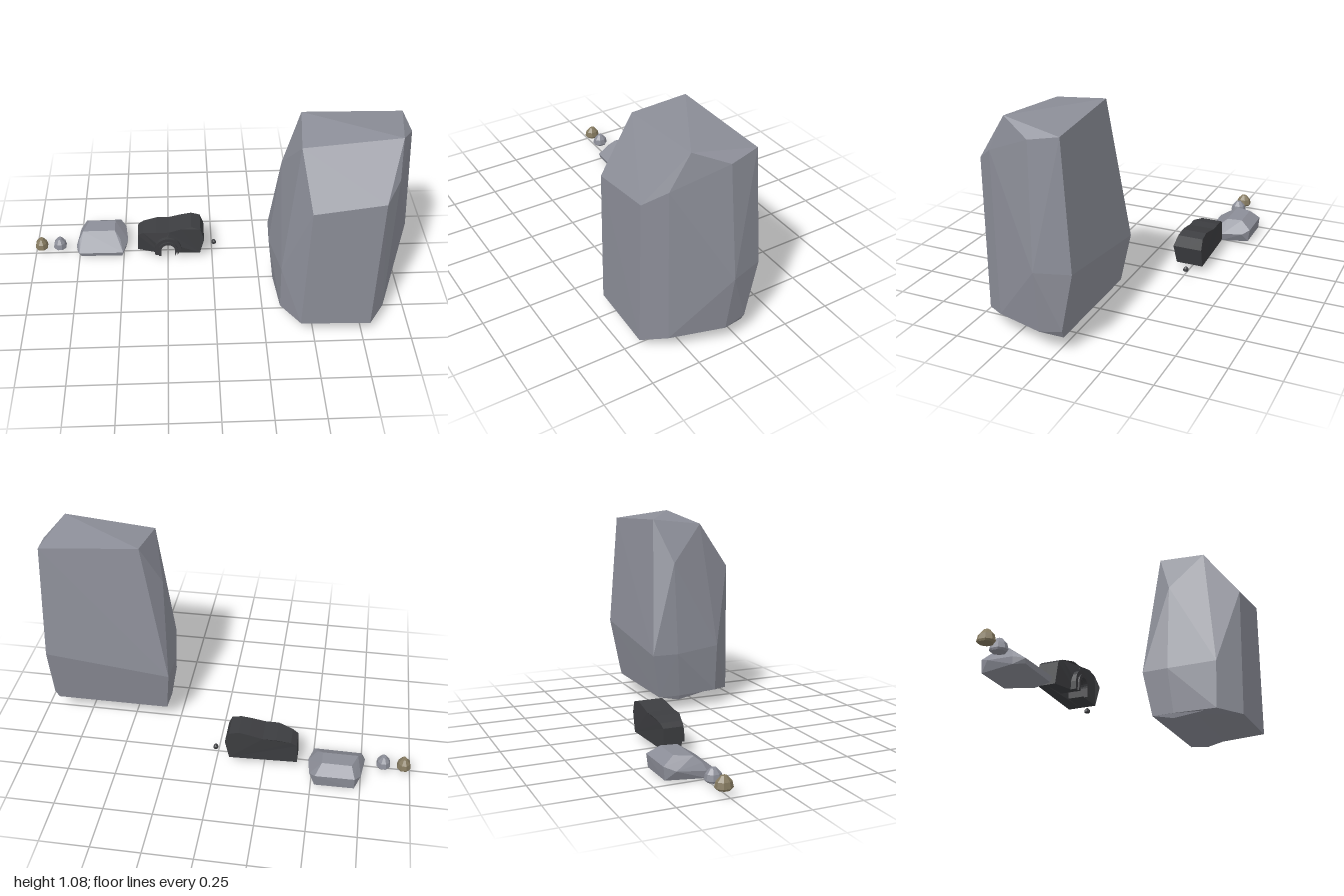
import * as THREE from 'three';
import { ConvexGeometry } from 'three/addons/geometries/ConvexGeometry.js';

const mat = (color) => new THREE.MeshStandardMaterial({ color, flatShading: true });
const stone = mat(0x8c8e98), darkStone = mat(0x3c3d40), brownStone = mat(0x857a60);

// faceted rock spanned around its corner points
function rock(name, material, corners) {
  const mesh = new THREE.Mesh(new ConvexGeometry(corners.map((c) => new THREE.Vector3(...c))), material);
  mesh.name = name;
  return mesh;
}

// small domed stone: wide base, shoulder ring and narrow crown
function pebble(name, material, x, y, z, w, h, d) {
  const corners = [];
  for (const [level, sx, sz] of [[0, 0.9, 0.8], [0.15, 1, 1], [0.6, 0.84, 0.86], [1, 0.3, 0.35]]) {
    for (let i = 0; i < 8; i++) {
      const a = ((i + 0.5) * Math.PI) / 4;
      corners.push([x + (Math.cos(a) / 0.924) * sx * w / 2, y + level * h, z + (Math.sin(a) / 0.924) * sz * d / 2]);
    }
  }
  return rock(name, material, corners);
}

// side outline of the cave rock, with an optional arched notch in its base
function caveOutline(notch) {
  const s = new THREE.Shape();
  s.moveTo(-0.42, 0.04);
  for (const [x, y] of [[-0.415, 0.15], [-0.385, 0.17], [-0.31, 0.185], [-0.24, 0.185], [-0.17, 0.202],
    [-0.115, 0.212], [-0.065, 0.197], [-0.045, 0.14], [-0.068, 0.038]]) s.lineTo(x, y);
  if (notch) {
    s.lineTo(-0.208, 0.04);
    s.lineTo(-0.208, 0.075);
    s.absarc(-0.247, 0.075, 0.039, 0, Math.PI, false);
    s.lineTo(-0.286, 0.04);
  }
  return s;
}

// extruded slice of the cave rock, narrowed toward its left end and leaning back at the top
function caveSlice(name, notch, t0, t1) {
  const geo = new THREE.ExtrudeGeometry(caveOutline(notch), { depth: t1 - t0, bevelEnabled: false, curveSegments: 5 });
  const p = geo.attributes.position;
  for (let i = 0; i < p.count; i++) {
    const x = p.getX(i), y = p.getY(i), t = t0 + p.getZ(i);
    const k = THREE.MathUtils.clamp((x + 0.42) / 0.1, 0, 1);
    const back = THREE.MathUtils.lerp(-0.312, -0.325, k);
    const lean = Math.max(0, y - 0.14) * 0.35 + Math.max(0, 0.14 - y) * 0.12;
    const front = THREE.MathUtils.lerp(-0.21, -0.168, k) - lean;
    p.setZ(i, THREE.MathUtils.lerp(back, front, t));
  }
  geo.computeVertexNormals();
  const mesh = new THREE.Mesh(geo, darkStone);
  mesh.name = name;
  return mesh;
}

function caveRock() {
  const g = new THREE.Group();
  g.name = 'caveRock';
  g.add(caveSlice('caveBack', false, 0, 0.45), caveSlice('caveFront', true, 0.45, 1));
  // raised stone arch around the opening, in two steps
  for (const [name, outer, inner, z] of [['outerArch', 0.074, 0.052, -0.163], ['innerArch', 0.054, 0.038, -0.155]]) {
    const s = new THREE.Shape();
    s.moveTo(outer, 0);
    s.absarc(0, 0.04, outer, 0, Math.PI, false);
    s.lineTo(-outer, 0);
    s.lineTo(-inner, 0);
    s.absarc(0, 0.04, inner, Math.PI, 0, true);
    s.lineTo(inner, 0);
    const arch = new THREE.Mesh(
      new THREE.ExtrudeGeometry(s, { depth: 0.035, bevelEnabled: false, curveSegments: 6 }), darkStone);
    arch.position.set(-0.247, 0.04, z - 0.035);
    arch.name = name;
    g.add(arch);
  }
  return g;
}

export function createModel() {
  const g = new THREE.Group();
  g.name = 'rockSet';

  // tall boulder: crown, shoulder, waist, base
  g.add(rock('tallBoulder', stone, [
    [0.405, 1.035, 0.255], [0.88, 1.08, 0.255], [0.935, 1.04, -0.045], [0.43, 1.065, -0.015], [0.955, 1.015, 0.1],
    [0.865, 0.905, 0.348], [0.795, 0.833, 0.443], [0.45, 0.785, 0.443], [0.335, 0.83, 0.07],
    [1.0, 0.42, 0.075], [0.95, 0.42, -0.092], [0.295, 0.33, -0.075], [0.288, 0.33, 0.07], [0.33, 0.35, 0.33],
    [0.433, 0.07, 0.435], [0.79, 0.065, 0.443], [0.87, 0.09, 0.337], [0.96, 0.105, 0.08],
    [0.95, 0.125, -0.033], [0.93, 0.085, -0.03], [0.32, 0.085, -0.03], [0.315, 0.085, 0.09], [0.335, 0.09, 0.32],
  ]));
  // lower hump under its rear half
  g.add(rock('boulderFoot', stone, [
    [0.87, 0.055, 0.087], [0.323, 0.06, 0.087], [0.93, 0.086, -0.03], [0.32, 0.086, -0.03],
    [0.955, 0.105, 0.08], [0.315, 0.09, 0.09], [0.85, 0.085, 0.25], [0.34, 0.085, 0.25],
  ]));

  // low flat rock
  g.add(rock('flatRock', stone, [
    [-0.73, 0.115, -0.3], [-0.55, 0.115, -0.3], [-0.55, 0.12, -0.385], [-0.7, 0.12, -0.385],
    [-0.72, 0.08, -0.44], [-0.52, 0.08, -0.443], [-0.49, 0.06, -0.405], [-0.477, 0.05, -0.295],
    [-0.52, 0.085, -0.265], [-0.75, 0.085, -0.265], [-0.503, 0.04, -0.193], [-0.75, 0.04, -0.195],
    [-0.768, 0.05, -0.25], [-0.75, 0.06, -0.39], [-0.765, 0.015, -0.25], [-0.74, 0.018, -0.2],
    [-0.51, 0.012, -0.2], [-0.49, 0.004, -0.288], [-0.72, 0.015, -0.434], [-0.52, 0.012, -0.434],
  ]));

  g.add(caveRock());
  g.add(pebble('greyPebble', stone, -0.862, 0.036, -0.265, 0.07, 0.062, 0.08));
  g.add(pebble('brownPebble', brownStone, -0.966, 0.036, -0.265, 0.068, 0.062, 0.08));
  g.add(pebble('darkPebble', darkStone, 0.012, 0.038, -0.263, 0.026, 0.024, 0.028));
  return g;
}
